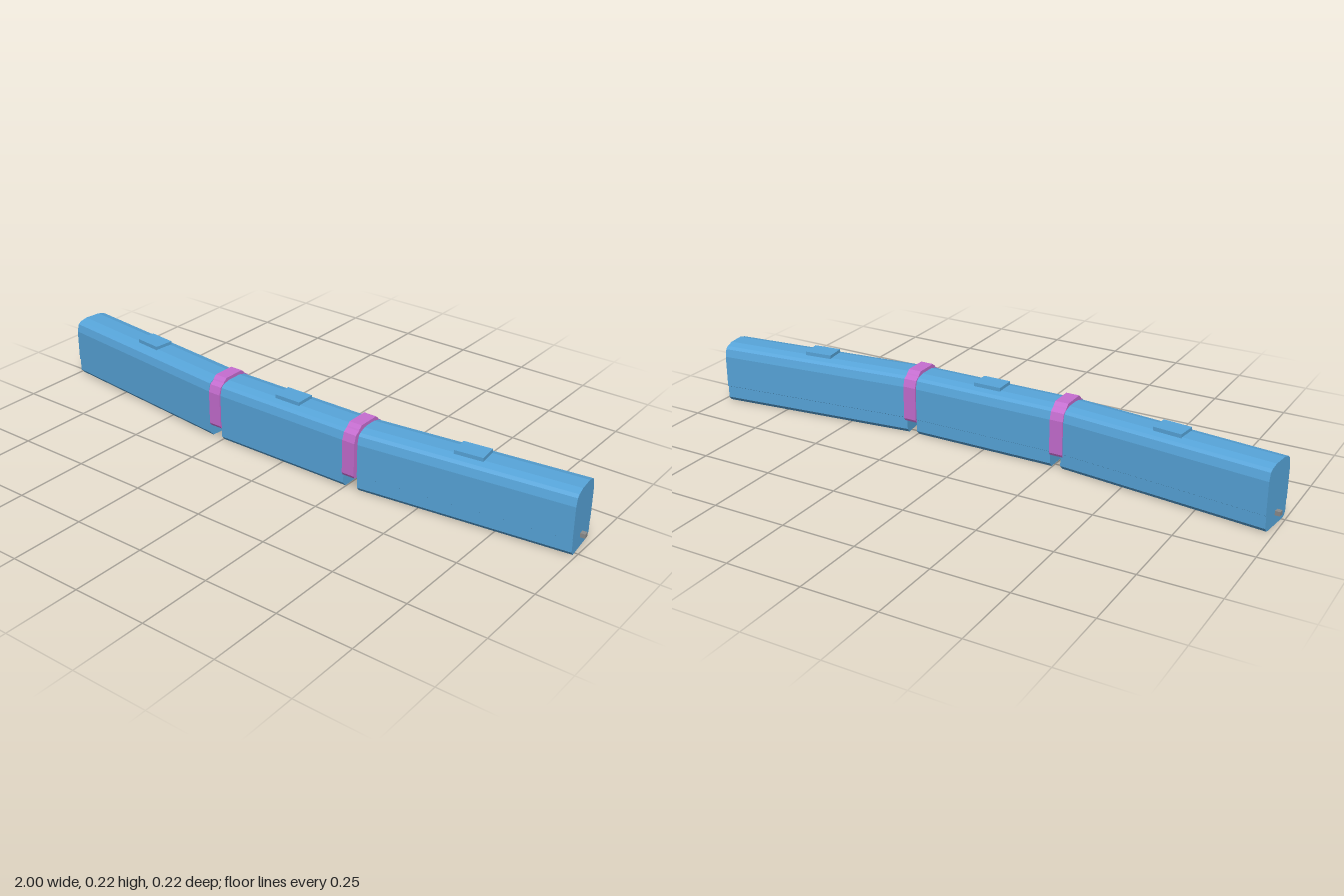
import * as THREE from 'three';

const blue = new THREE.MeshStandardMaterial({ color: 0x57a5da });
blue.name = 'body blue';
const pink = new THREE.MeshStandardMaterial({ color: 0xc56dd0 });
pink.name = 'joint pink';
const grey = new THREE.MeshStandardMaterial({ color: 0x8c8c8c });
grey.name = 'coupler grey';

// Half cross-sections [half width, height], bottom to top
const CAR = [[0.055, 0], [0.067, 0.014], [0.067, 0.055], [0.07, 0.057],
  [0.07, 0.165], [0.063, 0.191], [0.053, 0.199], [0.027, 0.206]];
const JOINT = [[0.07, 0.046], [0.075, 0.055], [0.075, 0.168], [0.067, 0.193],
  [0.052, 0.203], [0.049, 0.207], [0.038, 0.217]];

// Mirrored cross-section extruded along x, centred on the origin
function prism(half, length) {
  const points = [
    ...half.map(([x, y]) => new THREE.Vector2(x, y)),
    ...[...half].reverse().map(([x, y]) => new THREE.Vector2(-x, y)),
  ];
  const geometry = new THREE.ExtrudeGeometry(new THREE.Shape(points), {
    depth: length, bevelEnabled: false,
  });
  geometry.translate(0, 0, -length / 2);
  geometry.rotateY(Math.PI / 2);
  return geometry;
}

function addMesh(parent, name, geometry, material, x = 0, y = 0, z = 0) {
  const mesh = new THREE.Mesh(geometry, material);
  mesh.name = name;
  mesh.position.set(x, y, z);
  parent.add(mesh);
  return mesh;
}

// One carriage: body shell with a roof unit
function makeCar(name, length) {
  const car = new THREE.Group();
  car.name = name;
  addMesh(car, 'body', prism(CAR, length), blue);
  addMesh(car, 'roofUnit', new THREE.BoxGeometry(0.095, 0.013, 0.066), blue, 0, 0.2105, 0);
  return car;
}

export function createModel() {
  const model = new THREE.Group();
  model.name = 'articulatedTram';

  const middle = makeCar('middleCar', 0.494);
  middle.position.z = 0.037;
  model.add(middle);

  const bend = THREE.MathUtils.degToRad(6.4);
  const length = 0.697;
  for (const side of [1, -1]) {
    const label = side > 0 ? 'left' : 'right';

    // End car swings back from the joint
    const car = makeCar(label + 'EndCar', length);
    car.position.set(side * 0.637, 0, -0.003);
    car.rotation.y = side * bend;
    addMesh(car, 'coupler', new THREE.BoxGeometry(0.03, 0.014, 0.017), grey,
      side * (length / 2 + 0.001), 0.041, 0);
    model.add(car);

    // Flexible joint between the cars
    addMesh(model, label + 'Joint', prism(JOINT, 0.045), pink, side * 0.269, 0, 0.037);
  }
  return model;
}
